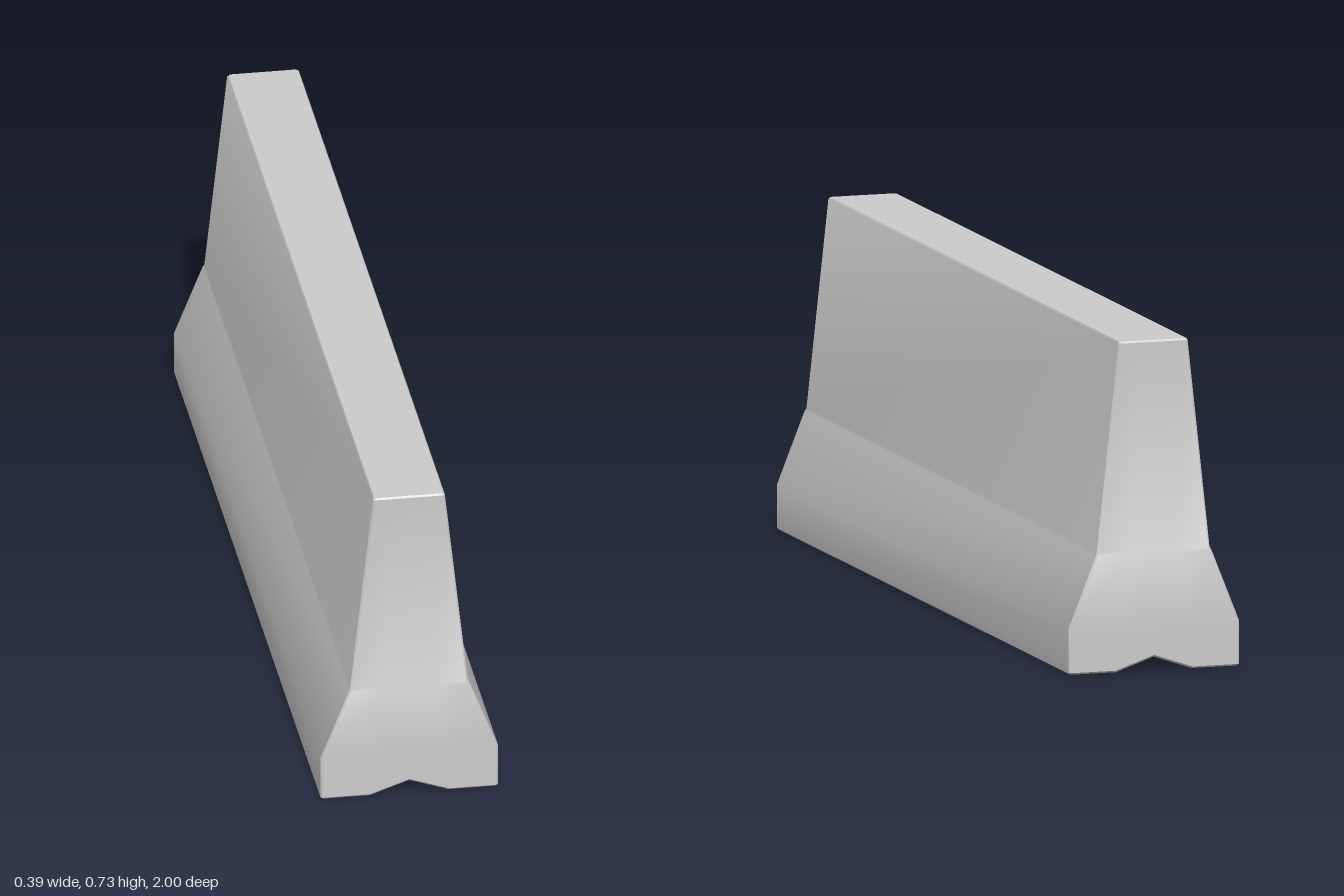
import * as THREE from 'three';
import { toCreasedNormals } from 'three/addons/utils/BufferGeometryUtils.js';

// Levels from the ground up: height, half width, half length, groove rise
const LEVELS = [
  [0, 0.191, 0.996, 0.03],
  [0.004, 0.195, 1, 0.03],
  [0.1, 0.195, 1, 0],
  [0.258, 0.132, 1, 0],
  [0.265, 0.129, 0.996, 0],
  [0.722, 0.079, 0.996, 0],
  [0.726, 0.076, 0.993, 0],
];
const CHAMFER = 0.004;

// One ring: the front end from -x to +x, then the back end by half a turn
function ring([y, w, l, rise]) {
  const g = w * 0.45;
  const half = [
    [-w, y, l - CHAMFER], [-w + CHAMFER, y, l], [-g, y, l], [0, y + rise, l],
    [g, y, l], [w - CHAMFER, y, l], [w, y, l - CHAMFER],
  ];
  return [...half, ...half.map(([x, h, z]) => [-x, h, -z])];
}

function barrierGeometry() {
  const positions = LEVELS.flatMap((level) => ring(level).flat());
  const index = [];
  const quad = (a, b, c, d) => index.push(a, b, c, a, c, d);
  const n = 14;
  const top = (LEVELS.length - 1) * n;

  // Side and end walls
  for (let r = 0; r < LEVELS.length - 1; r++) {
    for (let i = 0; i < n; i++) {
      const a = r * n + i;
      const b = r * n + ((i + 1) % n);
      quad(a, b, b + n, a + n);
    }
  }
  // Flat top and grooved underside, as strips along the length
  for (let j = 0; j < 6; j++) {
    quad(top + j, top + j + 1, top + 12 - j, top + 13 - j);
    quad(13 - j, 12 - j, j + 1, j);
  }

  const geometry = new THREE.BufferGeometry();
  geometry.setAttribute('position', new THREE.Float32BufferAttribute(positions, 3));
  geometry.setIndex(index);
  return toCreasedNormals(geometry, 0.6);
}

export function createModel() {
  const group = new THREE.Group();
  group.name = 'roadBarrier';
  const body = new THREE.Mesh(
    barrierGeometry(),
    new THREE.MeshStandardMaterial({ color: 0xcccccc })
  );
  body.name = 'barrierBody';
  group.add(body);
  return group;
}
